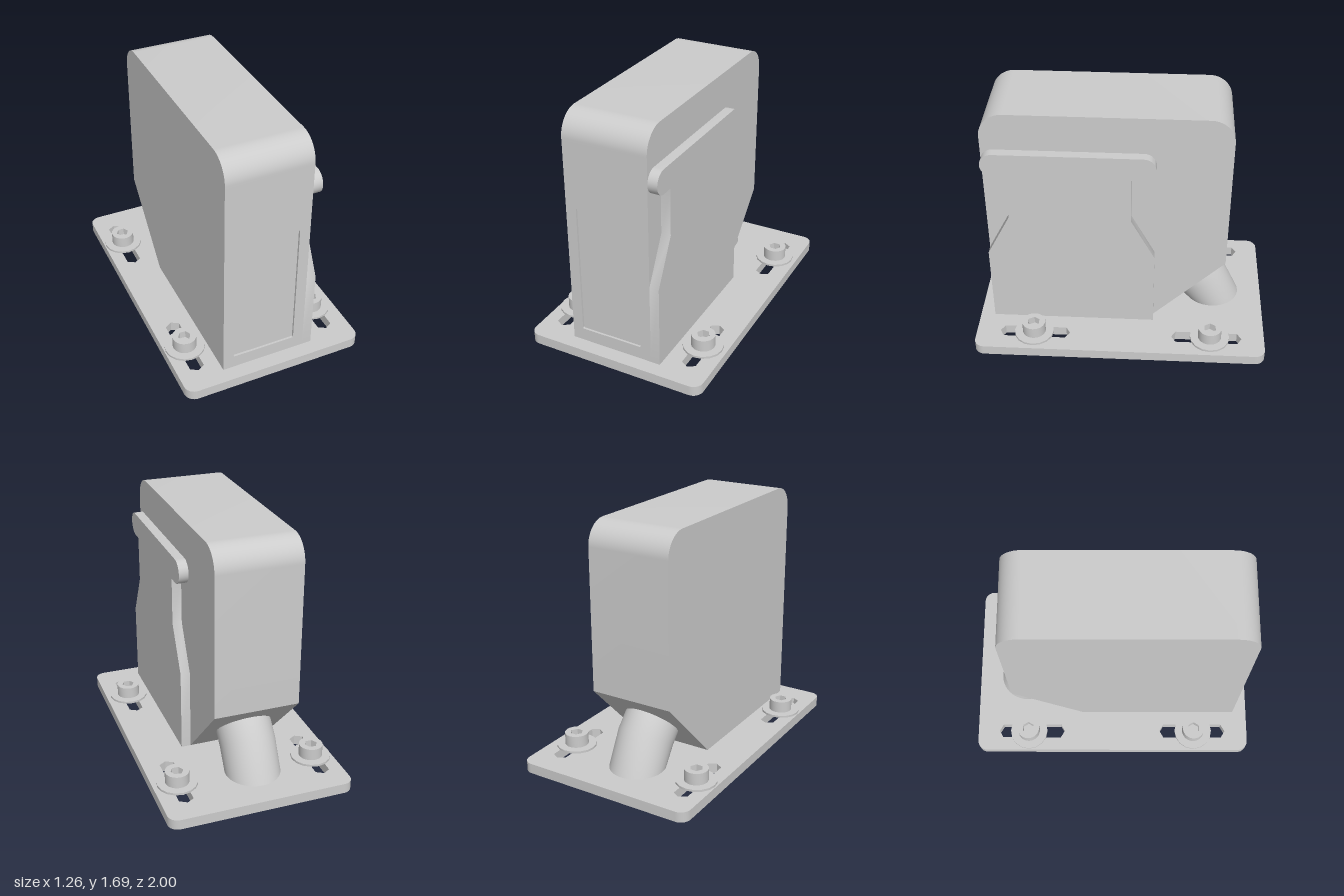
import * as THREE from 'three';
import { toCreasedNormals } from 'three/addons/utils/BufferGeometryUtils.js';

const material = new THREE.MeshStandardMaterial({ color: 0xcccccc });

function addMesh(parent, name, geometry) {
  const mesh = new THREE.Mesh(geometry, material);
  mesh.name = name;
  parent.add(mesh);
  return mesh;
}

function extrude(shape, depth, curveSegments) {
  return new THREE.ExtrudeGeometry(shape, { depth, curveSegments, bevelEnabled: false });
}

// Profile drawn in (z, y), extruded across x0..x1
function extrudeX(shape, x0, x1) {
  const g = extrude(shape, x1 - x0, 10).rotateY(-Math.PI / 2).translate(x1, 0, 0);
  return toCreasedNormals(g, 0.5);
}

// Plan drawn in (x, -z), extruded upwards from y
function extrudeUp(shape, y, height, segments) {
  const g = extrude(shape, height, segments).rotateX(-Math.PI / 2).translate(0, y, 0);
  return toCreasedNormals(g, 0.5);
}

function roundedRect(x0, y0, x1, y1, r, Type = THREE.Shape) {
  const s = new Type();
  s.moveTo(x0 + r, y0);
  s.absarc(x1 - r, y0 + r, r, -Math.PI / 2, 0);
  s.absarc(x1 - r, y1 - r, r, 0, Math.PI / 2);
  s.absarc(x0 + r, y1 - r, r, Math.PI / 2, Math.PI);
  s.absarc(x0 + r, y0 + r, r, Math.PI, Math.PI * 1.5);
  return s;
}

const points = (list) => list.map(([x, y]) => new THREE.Vector2(x, y));

function circle(r) {
  const s = new THREE.Shape();
  s.absarc(0, 0, r, 0, Math.PI * 2);
  return s;
}

function hexagon(r) {
  return new THREE.Path(points([0, 1, 2, 3, 4, 5, 0].map((i) =>
    [r * Math.cos(i * Math.PI / 3), r * Math.sin(i * Math.PI / 3)])));
}

function makeBolt() {
  const bolt = new THREE.Group();
  addMesh(bolt, 'washer', extrudeUp(circle(0.136), 0.07, 0.015, 8));
  const head = circle(0.08);
  head.holes.push(hexagon(0.043));
  addMesh(bolt, 'boltHead', extrudeUp(head, 0.085, 0.082, 12));
  addMesh(bolt, 'socketFloor', new THREE.CircleGeometry(0.043, 6).rotateX(-Math.PI / 2).translate(0, 0.115, 0));
  return bolt;
}

// Bent conduit lofted through elliptical rings, each given by its outer and inner (z, y)
function conduitGeometry() {
  const rings = [
    [-0.59, 0.47, -0.325, 0.195],
    [-0.605, 0.455, -0.34, 0.18],
    [-0.705, 0.345, -0.389, 0.13],
    [-0.838, 0.065, -0.455, 0.065],
  ];
  const sides = 40, positions = [], index = [];
  rings.forEach(([zo, yo, zi, yi], j) => {
    for (let i = 0; i <= sides; i++) {
      const a = (i / sides) * Math.PI * 2;
      const t = (1 - Math.cos(a)) / 2;
      positions.push(-0.053 + 0.187 * Math.sin(a), yo + (yi - yo) * t, zo + (zi - zo) * t);
      if (j && i < sides) {
        const p = (j - 1) * (sides + 1) + i, q = p + sides + 1;
        index.push(p, p + 1, q, p + 1, q + 1, q);
      }
    }
  });
  let g = new THREE.BufferGeometry();
  g.setAttribute('position', new THREE.Float32BufferAttribute(positions, 3));
  g.setIndex(index);
  return toCreasedNormals(g, 0.5);
}

export function createModel() {
  const model = new THREE.Group();
  const boltX = [-0.487, 0.465];

  // Base plate with four adjustment slots
  const base = roundedRect(-0.63, -1, 0.63, 1, 0.07);
  for (const x of boltX) {
    for (const z of [-0.6, 0.593]) {
      const w = 0.049, e = 0.214, tip = 0.243;
      base.holes.push(new THREE.Path(points([
        [x - w, -z - e], [x, -z - tip], [x + w, -z - e],
        [x + w, -z + e], [x, -z + tip], [x - w, -z + e], [x - w, -z - e],
      ])));
    }
  }
  addMesh(model, 'basePlate', extrudeUp(base, 0, 0.07, 4));

  // Housing, stepped back at the front to receive the recessed frame
  const body = new THREE.Shape();
  body.moveTo(-0.225, 0.07);
  body.lineTo(0.885, 0.07);
  body.lineTo(0.885, 1.5);
  body.lineTo(0.9, 1.5);
  body.absarc(0.74, 1.53, 0.16, 0, Math.PI / 2);
  body.absarc(-0.55, 1.53, 0.16, Math.PI / 2, Math.PI);
  body.lineTo(-0.71, 0.56);
  addMesh(model, 'housing', extrudeX(body, -0.34, 0.24));

  // Front frame around the shallow panel recess
  const frame = new THREE.Shape(points([[-0.34, 0.07], [0.24, 0.07], [0.24, 1.5], [-0.34, 1.5]]));
  frame.holes.push(roundedRect(-0.268, 0.16, 0.168, 1.06, 0.01, THREE.Path));
  addMesh(model, 'frontFrame', extrude(frame, 0.015, 4).translate(0, 0, 0.885));

  // Side cover with a narrow waist and a round-ended top rail
  const cover = new THREE.Shape();
  cover.moveTo(-0.225, 0.07);
  cover.lineTo(0.9, 0.07);
  cover.lineTo(0.9, 0.64);
  cover.lineTo(0.74, 0.945);
  cover.lineTo(0.74, 1.27);
  cover.absarc(0.818, 1.352, 0.082, -Math.PI / 2, Math.PI / 2);
  cover.absarc(-0.143, 1.352, 0.082, Math.PI / 2, Math.PI * 1.5);
  cover.lineTo(-0.065, 1.27);
  cover.lineTo(-0.065, 0.945);
  cover.lineTo(-0.225, 0.64);
  addMesh(model, 'sideCover', extrudeX(cover, 0.24, 0.305));

  addMesh(model, 'conduit', conduitGeometry());

  // Bolts and washers over the slots
  for (const x of boltX) {
    for (const z of [-0.622, 0.598]) {
      const bolt = makeBolt();
      bolt.name = 'bolt';
      bolt.position.set(x, 0, z);
      model.add(bolt);
    }
  }
  return model;
}
